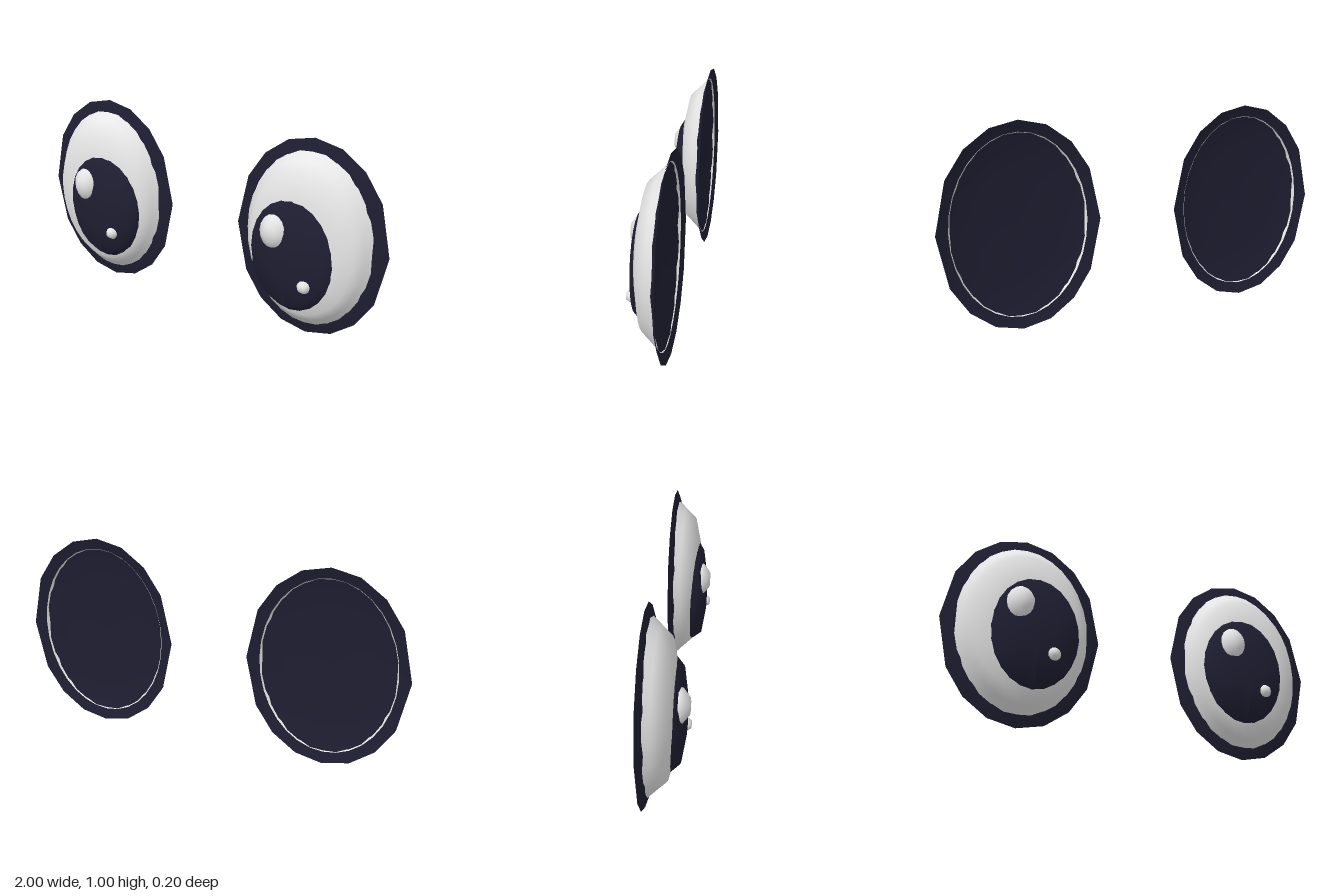
import * as THREE from 'three';

const dark = new THREE.MeshStandardMaterial({ name: 'dark navy', color: 0x1f1e32, side: THREE.DoubleSide });
const white = new THREE.MeshStandardMaterial({ name: 'soft white', color: 0xf0f0f0, side: THREE.DoubleSide });

// Eyeball profile: [share of radius, z], from the edge to the centre
const EYE_RX = 0.333, EYE_RY = 0.437;
const eyeProfile = [[1.015, -0.086], [0.92, -0.045], [0.81, 0.004], [0.51, 0.033], [0, 0.045]];

// Elliptical shell facing +z, swept from a profile
function shell(name, material, rx, ry, profile, sides) {
  const points = profile.map(([r, z]) => new THREE.Vector2(r, z));
  const geometry = new THREE.LatheGeometry(points, sides);
  geometry.rotateX(Math.PI / 2);
  geometry.scale(rx, ry, 1);
  const mesh = new THREE.Mesh(geometry, material);
  mesh.name = name;
  return mesh;
}

// Height of the eyeball surface at a point measured from the eye centre
function eyeHeight(x, y) {
  const r = Math.min(1, Math.hypot(x / EYE_RX, y / EYE_RY));
  for (let i = 1; i < eyeProfile.length; i++) {
    const [r0, z0] = eyeProfile[i - 1], [r1, z1] = eyeProfile[i];
    if (r >= r1) return z0 + (z1 - z0) * (r0 - r) / (r0 - r1);
  }
  return 0;
}

// Shallow dark dish behind the eyeball; its corners crowd towards top and bottom
function makeRim() {
  const rx = 0.4, ry = 0.5;
  const cornerAngles = [0, 20, 40, 60, 90];
  const rim = shell('rim', dark, rx, ry,
    [[1, -0.1], [0.81, -0.071], [0.5, -0.06], [0, -0.056]], 16);
  const p = rim.geometry.attributes.position;
  for (let i = 0; i < p.count; i++) {
    const x = p.getX(i) / rx, y = p.getY(i) / ry, r = Math.hypot(x, y);
    const corner = Math.round(Math.atan2(Math.abs(x), Math.abs(y)) / (Math.PI / 8));
    const angle = THREE.MathUtils.degToRad(cornerAngles[corner]);
    p.setXY(i, Math.sign(x) * r * Math.sin(angle) * rx, Math.sign(y) * r * Math.cos(angle) * ry);
  }
  return rim;
}

// Iris whose edge is wrapped onto the eyeball
function makeIris(dx, dy) {
  const iris = shell('iris', dark, 0.224, 0.287,
    [[1, 0], [0.84, 0.055], [0.4, 0.075], [0, 0.077]], 24);
  const p = iris.geometry.attributes.position;
  for (let i = 0; i < p.count; i++) {
    if (p.getZ(i) < 0.01) p.setZ(i, eyeHeight(p.getX(i) + dx, p.getY(i) + dy) - 0.003);
  }
  iris.geometry.computeVertexNormals();
  iris.position.set(dx, dy, 0);
  return iris;
}

function makeEye(name, side) {
  const eye = new THREE.Group();
  eye.name = name;
  eye.add(makeRim());
  eye.add(shell('eyeball', white, EYE_RX, EYE_RY, eyeProfile, 32));
  eye.add(makeIris(-side * 0.038, -0.056));

  // Both highlights sit on the same side of each iris
  const highlightX = -side * 0.03;
  const large = shell('largeHighlight', white, 0.07, 0.088,
    [[1, 0.05], [0.96, 0.068], [0.46, 0.1], [0, 0.1]], 16);
  large.position.set(highlightX - 0.083, 0.066, 0);
  const small = shell('smallHighlight', white, 0.034, 0.034,
    [[0.9, 0.055], [1, 0.067], [0.55, 0.09], [0, 0.09]], 12);
  small.position.set(highlightX + 0.089, -0.17, 0);
  eye.add(large, small);
  return eye;
}

export function createModel() {
  const model = new THREE.Group();
  model.name = 'pairOfEyes';
  for (const side of [-1, 1]) {
    const eye = makeEye(side < 0 ? 'rightEye' : 'leftEye', side);
    eye.position.set(side * 0.6, 0.5, 0);
    model.add(eye);
  }
  return model;
}
